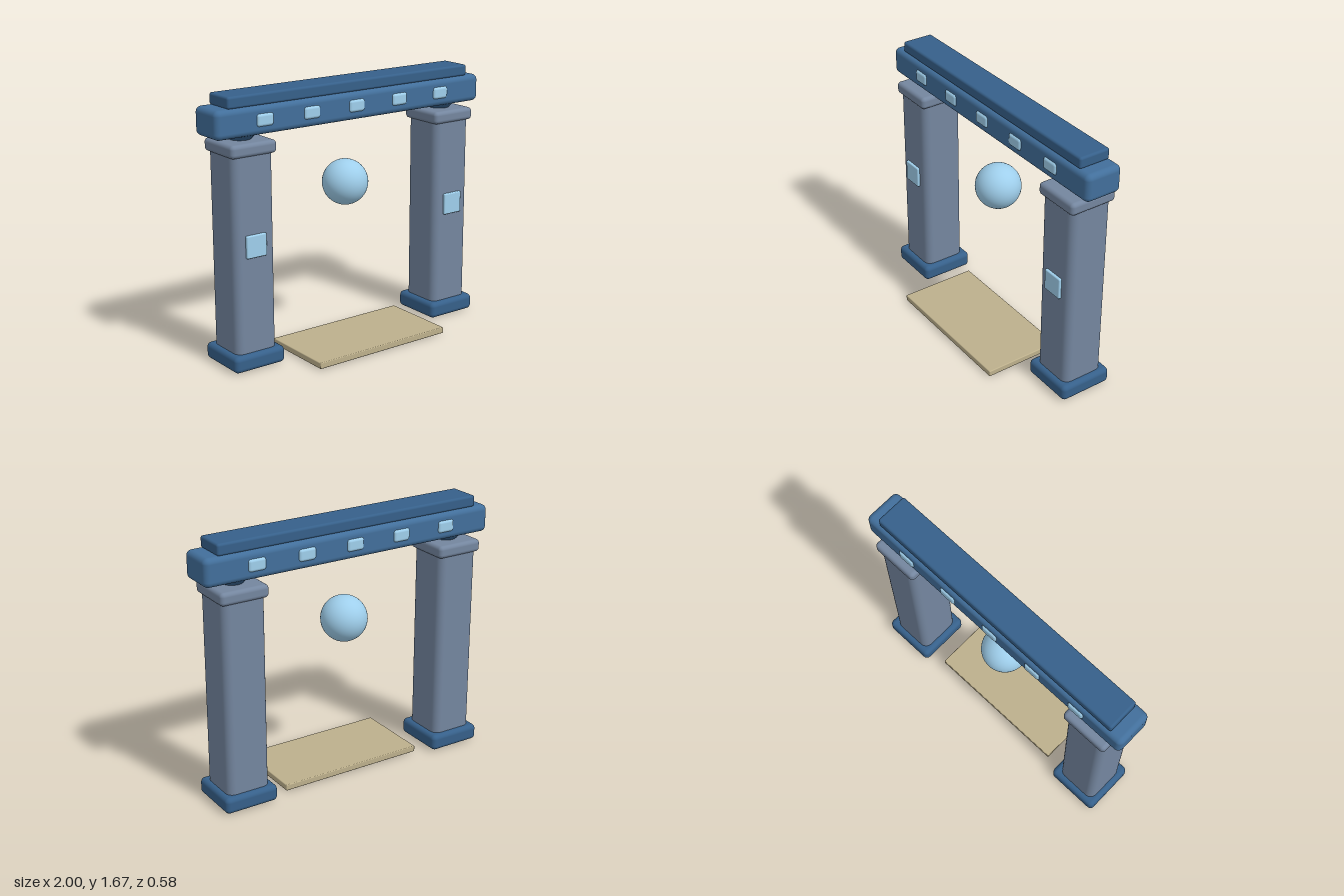
import * as THREE from 'three';
import { RoundedBoxGeometry } from 'three/addons/geometries/RoundedBoxGeometry.js';

const paint = (color) => new THREE.MeshStandardMaterial({ color });
const stone = paint(0x74869f);
const beamBlue = paint(0x426f9b);
const darkBlue = paint(0x36608a);
const glow = paint(0x9fcfec);
const sand = paint(0xbdb08c);

const MID_Z = -0.115; // depth centre of the gate
const COLUMN_X = 0.765;

function add(parent, name, geometry, material, x, y, z) {
  const mesh = new THREE.Mesh(geometry, material);
  mesh.name = name;
  mesh.position.set(x, y, z);
  parent.add(mesh);
  return mesh;
}

// rounded block given by its size, its bottom height and its centre
function block(parent, name, [w, h, d], radius, material, x, bottom, z) {
  return add(parent, name, new RoundedBoxGeometry(w, h, d, 4, radius), material, x, bottom + h / 2, z);
}

function column(side) {
  const group = new THREE.Group();
  group.name = side > 0 ? 'leftColumn' : 'rightColumn';
  group.position.set(side * COLUMN_X, 0, MID_Z);
  block(group, 'shaft', [0.285, 1.38, 0.285], 0.05, stone, 0, 0, 0);
  block(group, 'base', [0.355, 0.105, 0.355], 0.03, darkBlue, 0, 0.005, 0);
  block(group, 'capital', [0.315, 0.08, 0.315], 0.025, stone, 0, 1.32, 0);
  // flared neck carrying the beam
  add(group, 'neck', new THREE.CylinderGeometry(0.115, 0.055, 0.06, 32), darkBlue, 0, 1.42, 0);
  // glowing plate on the front only
  block(group, 'plate', [0.14, 0.14, 0.04], 0.008, glow, 0, 0.708, 0.14);
  return group;
}

export function createModel() {
  const model = new THREE.Group();
  model.name = 'gate';

  for (const side of [-1, 1]) model.add(column(side));

  // lintel with the slab on top
  block(model, 'beam', [2, 0.175, 0.245], 0.035, beamBlue, 0, 1.43, MID_Z);
  block(model, 'topSlab', [1.815, 0.072, 0.208], 0.015, darkBlue, 0, 1.603, MID_Z);

  // glowing studs showing on both faces of the beam
  for (let i = -2; i <= 2; i++) {
    block(model, 'stud', [0.116, 0.078, 0.268], 0.018, glow, i * 0.334, 1.481, MID_Z);
  }

  // floating orb and floor panel
  add(model, 'orb', new THREE.SphereGeometry(0.146, 40, 28), glow, 0, 1.015, MID_Z);
  block(model, 'floorPanel', [0.978, 0.04, 0.51], 0.006, sand, 0, 0.005, 0.035);

  return model;
}
